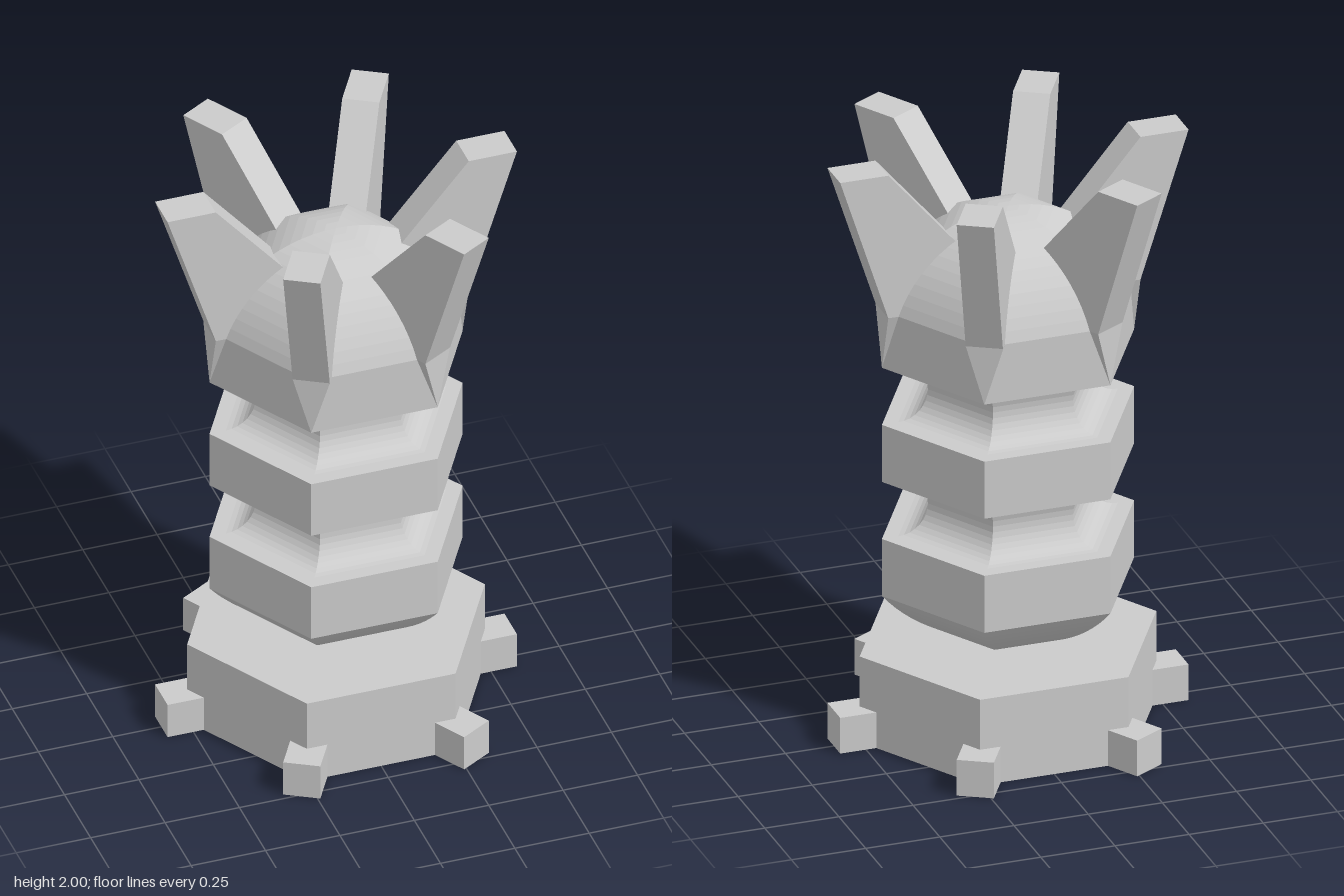
import * as THREE from 'three';

const material = new THREE.MeshStandardMaterial({ color: 0xcccccc, flatShading: true });
const R = 0.425;        // corner radius of the hexagonal body
const FIN_WIDTH = 0.12;
const TIP = 0.587;      // outer reach of fins and feet

function addMesh(parent, name, geometry) {
  const mesh = new THREE.Mesh(geometry, material);
  mesh.name = name;
  parent.add(mesh);
  return mesh;
}

// Six-sided turned solid with a corner on +x
function hexLathe(points) {
  const profile = points.map(([r, y]) => new THREE.Vector2(r, y));
  return new THREE.LatheGeometry(profile, 6, Math.PI / 2);
}

// Shallow cap: circular arc from the axis at yTip to the body edge at yEdge
function capArc(yTip, yEdge, steps = 14) {
  const h = Math.abs(yEdge - yTip);
  const radius = (R * R + h * h) / (2 * h);
  const sign = Math.sign(yEdge - yTip);
  const sweep = Math.asin(R / radius);
  return Array.from({ length: steps + 1 }, (_, i) => {
    const a = (sweep * i) / steps;
    return [radius * Math.sin(a), yTip + sign * radius * (1 - Math.cos(a))];
  });
}

// Half-round groove cut into the body, centred on height y
function groove(y, steps = 16) {
  const points = [[R, y - 0.1]];
  for (let i = 0; i <= steps; i++) {
    const a = (Math.PI * i) / steps;
    points.push([0.37 - 0.1 * Math.sin(a), y - 0.1 * Math.cos(a)]);
  }
  points.push([R, y + 0.1]);
  return points;
}

function extrude(points, depth) {
  const shape = new THREE.Shape(points.map(([x, y]) => new THREE.Vector2(x, y)));
  return new THREE.ExtrudeGeometry(shape, { depth, bevelEnabled: false });
}

export function createModel() {
  const model = new THREE.Group();
  model.name = 'finnedHexColumn';

  addMesh(model, 'base', hexLathe([[0, 0], [0.5, 0], [0.5, 0.3], [0, 0.3]]));

  // Body: rounded underside, two grooves, domed top
  addMesh(model, 'body', hexLathe([
    ...capArc(0.3, 0.5),
    ...groove(0.8),
    ...groove(1.2),
    ...capArc(1.8, 1.5).reverse(),
  ]));

  // Flared fin, the pointed wedge below it, and a small foot at each corner
  const finGeometry = extrude([[0, 1.5], [R, 1.5], [TIP, 2], [R, 2]], FIN_WIDTH)
    .translate(0, 0, -FIN_WIDTH / 2);
  const wedgeGeometry = extrude([[0, 1.3], [FIN_WIDTH / 2, 1.5], [-FIN_WIDTH / 2, 1.5]], 0.225)
    .rotateY(Math.PI / 2).translate(R - 0.225, 0, 0);
  const footGeometry = new THREE.BoxGeometry(TIP - 0.3, 0.125, FIN_WIDTH)
    .translate((TIP + 0.3) / 2, 0.0625, 0);

  for (let i = 0; i < 6; i++) {
    const corner = new THREE.Group();
    corner.name = `corner${i + 1}`;
    addMesh(corner, 'fin', finGeometry);
    addMesh(corner, 'finWedge', wedgeGeometry);
    addMesh(corner, 'foot', footGeometry);
    corner.rotation.y = (i * Math.PI) / 3;
    model.add(corner);
  }
  return model;
}
